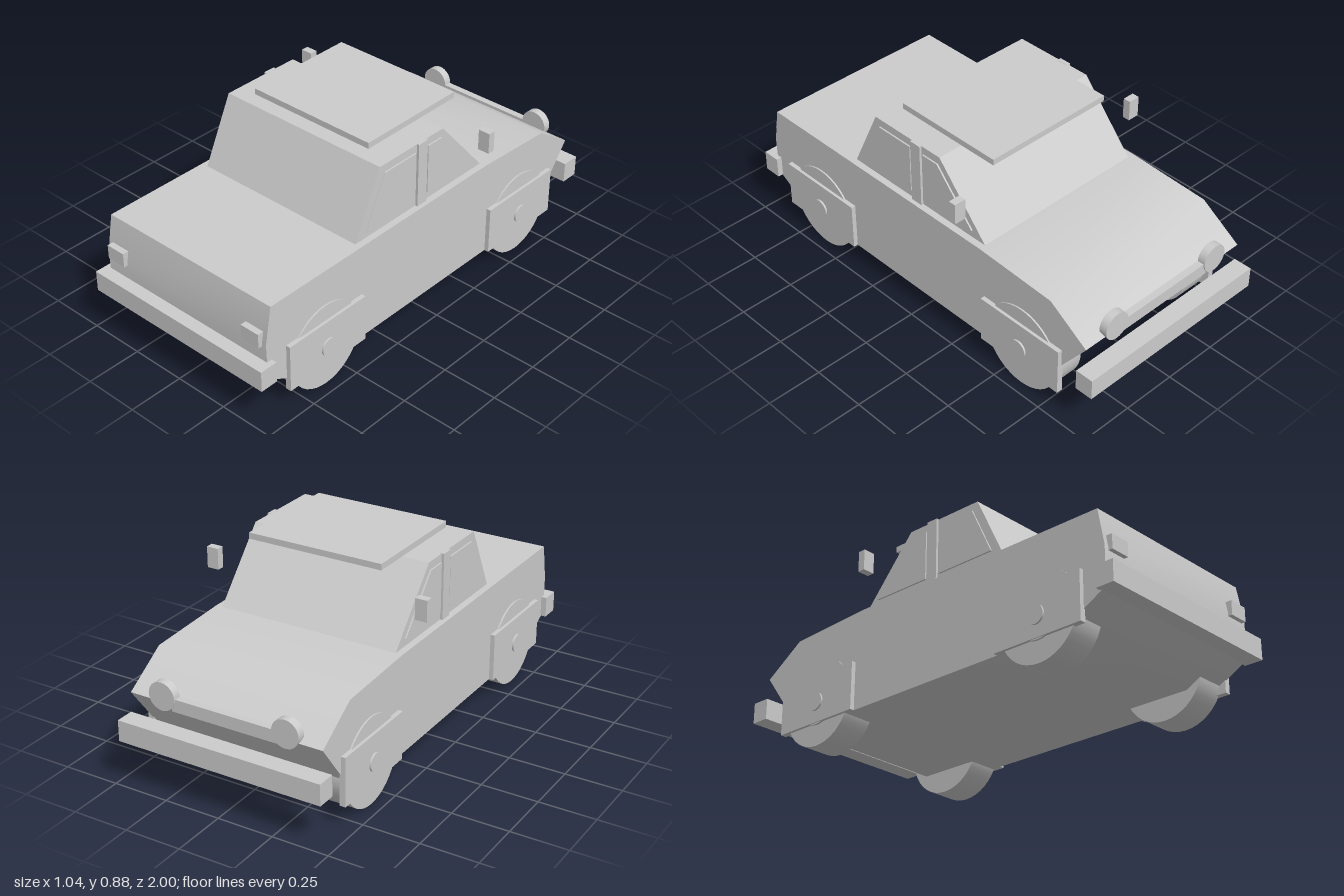
import * as THREE from 'three';
import { toCreasedNormals } from 'three/addons/utils/BufferGeometryUtils.js';

export function createModel() {
  const car = new THREE.Group();
  car.name = 'car';
  const grey = new THREE.MeshStandardMaterial({ color: 0xcccccc });
  grey.name = 'light grey';

  function add(name, geometry, x = 0, y = 0, z = 0) {
    const mesh = new THREE.Mesh(geometry, grey);
    mesh.name = name;
    mesh.position.set(x, y, z);
    car.add(mesh);
    return mesh;
  }

  // Box from its limits on each axis
  function box(name, x0, x1, y0, y1, z0, z1) {
    const g = new THREE.BoxGeometry(Math.abs(x1 - x0), y1 - y0, z1 - z0);
    return add(name, g, (x0 + x1) / 2, (y0 + y1) / 2, (z0 + z1) / 2);
  }

  // Side profile of [z, y] points, extruded across x and centred on it
  function profile(points, width) {
    const shape = new THREE.Shape(points.map(([z, y]) => new THREE.Vector2(z, y)));
    const g = new THREE.ExtrudeGeometry(shape, { depth: width, bevelEnabled: false });
    g.translate(0, 0, -width / 2);
    g.rotateY(-Math.PI / 2);
    return toCreasedNormals(g, 0.6);
  }

  // Lower body and cabin
  add('body', profile([
    [0.74, 0.10], [0.94, 0.21], [0.945, 0.38], [0.915, 0.545], [-0.36, 0.545],
    [-0.75, 0.525], [-0.94, 0.40], [-0.82, 0.24], [-0.715, 0.10],
  ], 0.886));
  add('cabin', profile([
    [0.415, 0.545], [0.275, 0.835], [-0.105, 0.835], [-0.36, 0.545],
  ], 0.826));

  // Roof panel, bumpers and the bar between the headlights
  box('roofPanel', -0.31, 0.31, 0.85, 0.877, -0.30, 0.225);
  box('bumper', -0.468, 0.468, 0.203, 0.296, 0.917, 1.0);
  box('bumper', -0.468, 0.468, 0.203, 0.296, -1.0, -0.917);
  box('grilleBar', -0.24, 0.24, 0.375, 0.43, -0.946, -0.915);

  // Side window outlines
  const rearWindow = [[0.355, 0.58], [0.25, 0.80], [0.065, 0.80], [0.065, 0.58]];
  const frontWindow = [[-0.01, 0.58], [-0.01, 0.80], [-0.095, 0.80], [-0.29, 0.58]];

  for (const s of [1, -1]) {
    // Windows and the pillar between them
    add('sideWindow', profile(rearWindow, 0.009), s * 0.4155);
    add('sideWindow', profile(frontWindow, 0.009), s * 0.4155);
    box('doorPillar', s * 0.405, s * 0.424, 0.545, 0.836, 0.0, 0.055);

    // Mirrors and lamps
    box('mirror', s * 0.465, s * 0.519, 0.68, 0.773, -0.307, -0.273);
    box('tailLight', s * 0.33, s * 0.422, 0.366, 0.43, 0.93, 0.964);
    const lamp = new THREE.CylinderGeometry(0.061, 0.061, 0.036, 32);
    lamp.rotateX(Math.PI / 2);
    add('headlight', lamp, s * 0.284, 0.429, -0.933);

    // Wheels with rims and hubs behind flat arch panels
    for (const z of [0.624, -0.601]) {
      const disc = (name, r, x0, x1) => {
        const g = new THREE.CylinderGeometry(r, r, x1 - x0, 40);
        g.rotateZ(Math.PI / 2);
        add(name, g, s * (x0 + x1) / 2, 0.193, z);
      };
      disc('tyre', 0.193, 0.31, 0.45);
      disc('rim', 0.1, 0.44, 0.459);
      disc('hub', 0.04, 0.44, 0.471);
      box('archPanel', s * 0.436, s * 0.463, 0.1, 0.315, z - 0.215, z + 0.215);
    }
  }
  return car;
}
